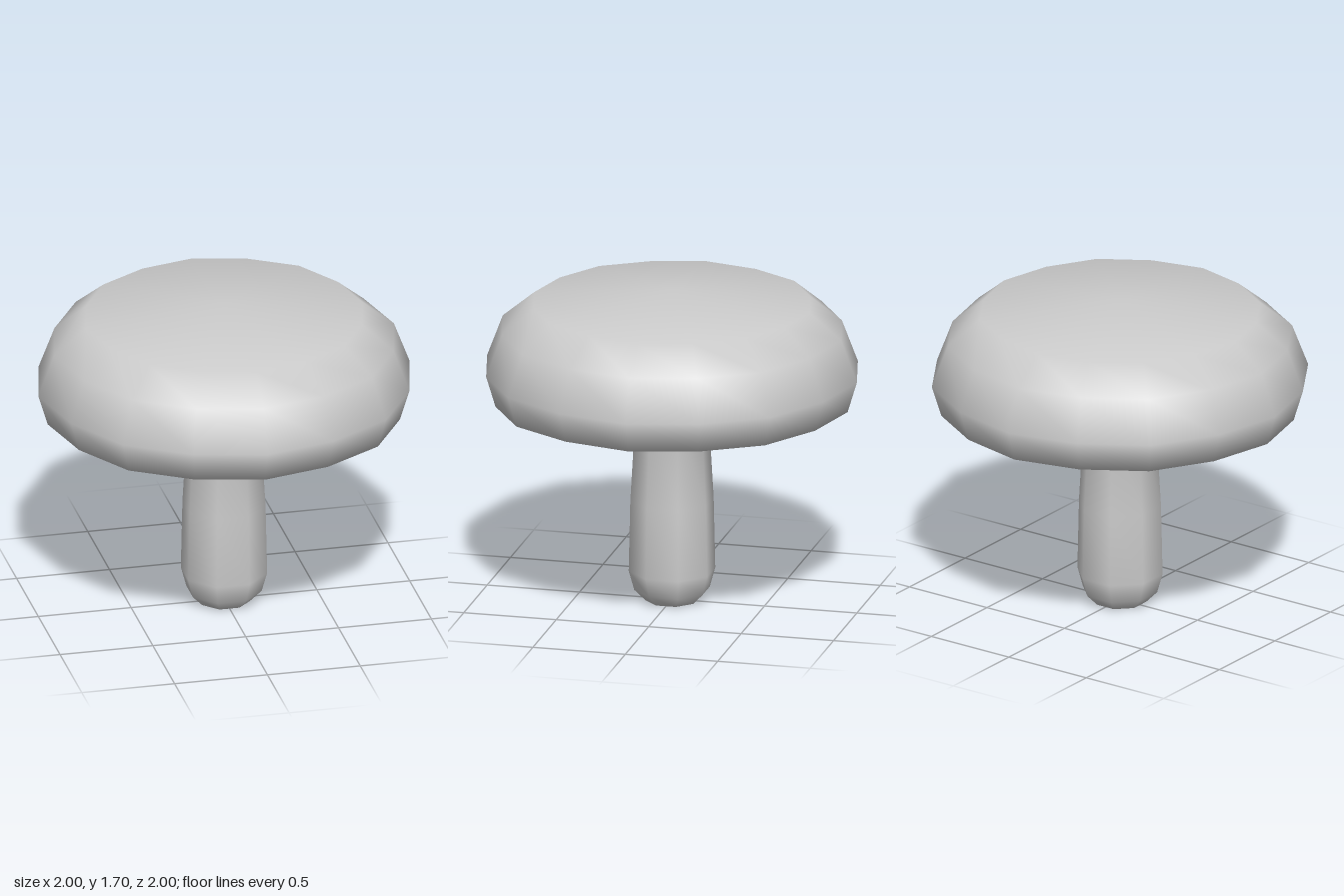
import * as THREE from 'three';
import { mergeVertices } from 'three/addons/utils/BufferGeometryUtils.js';

const material = new THREE.MeshStandardMaterial({ color: 0xcccccc });

// Revolve a bottom-to-top profile of [radius, height] pairs, welded for smooth shading.
// Every second corner of a sixteen-sided ring can be drawn in by the given amount.
function lathe(name, profile, sides, startAngle = 0, drawIn = 0) {
  const points = profile.map(([r, y]) => new THREE.Vector2(r, y));
  let geometry = new THREE.LatheGeometry(points, sides, startAngle);
  geometry.deleteAttribute('normal');
  geometry.deleteAttribute('uv');
  geometry = mergeVertices(geometry, 1e-4);
  const pos = geometry.attributes.position;
  for (let i = 0; i < pos.count; i++) {
    const x = pos.getX(i), z = pos.getZ(i);
    const k = 1 - drawIn * (1 - Math.cos(8 * Math.atan2(x, z))) / 2;
    pos.setX(i, x * k);
    pos.setZ(i, z * k);
  }
  geometry.computeVertexNormals();
  const mesh = new THREE.Mesh(geometry, material);
  mesh.name = name;
  return mesh;
}

export function createModel() {
  const group = new THREE.Group();
  group.name = 'mushroom';

  // Wide sixteen-sided cap: hollowed underside, thin rim, shallow peak
  group.add(lathe('cap', [
    [0, 1.13], [0.4, 1.13], [0.86, 1.18], [0.95, 1.1], [1, 1.265],
    [0.915, 1.49], [0.745, 1.63], [0, 1.7],
  ], 16, 0, 0.015));

  // Eight-sided stem, flat faces to the front, flaring into the underside.
  // Profile radii are measured to the flats, then scaled out to the corners.
  const toCorner = 1 / Math.cos(Math.PI / 8);
  const stem = [
    [0, 0], [0.13, 0], [0.185, 0.06], [0.212, 0.165],
    [0.204, 0.55], [0.176, 1.08], [0.25, 1.102], [0.36, 1.13],
  ].map(([r, y]) => [r * toCorner, y]);
  group.add(lathe('stem', stem, 8, Math.PI / 8));

  return group;
}
